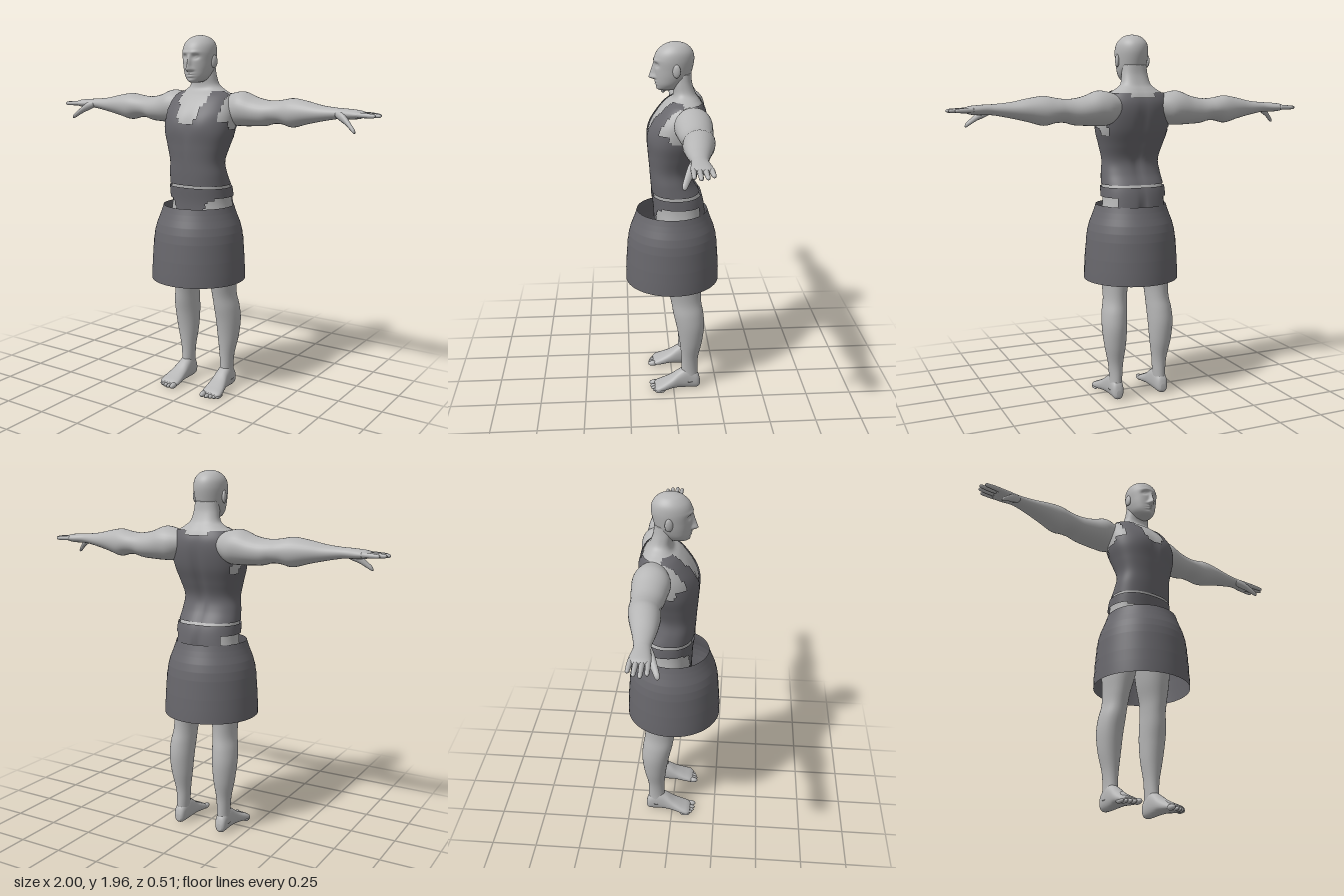
import * as THREE from 'three';

const skin = new THREE.MeshStandardMaterial({ color: 0xb6b6b6 });
skin.name = 'skin';
const cloth = new THREE.MeshStandardMaterial({ color: 0x68676c, side: THREE.DoubleSide });
cloth.name = 'cloth';

const bell = (d, width) => Math.exp(-((d / width) ** 2));
const between = (v, a, b) => THREE.MathUtils.smoothstep(v, a, b);

// Right-handed axis orders: section = [t, uMin, uMax, vMin, vMax]
const place = {
  x: (t, u, v) => new THREE.Vector3(t, u, v), // u = y, v = z
  y: (t, u, v) => new THREE.Vector3(v, t, u), // u = z, v = x
  z: (t, u, v) => new THREE.Vector3(u, v, t), // u = x, v = y
};

// Smooth blend through the sections
function sample(sections, s) {
  const last = sections.length - 1;
  const i = Math.min(Math.floor(s), last - 1);
  const f = s - i;
  const at = (k) => sections[THREE.MathUtils.clamp(k, 0, last)];
  return sections[i].map((_, c) => {
    const [a, b, d, e] = [at(i - 1)[c], at(i)[c], at(i + 1)[c], at(i + 2)[c]];
    return 0.5 * (2 * b + (d - a) * f + (2 * a - 5 * b + 4 * d - e) * f * f + (3 * b - a - 3 * d + e) * f ** 3);
  });
}

// Skins rounded cross-sections along an axis; keep() can cut the surface open
function loft(axis, sections, { sides = 24, steps = 5, power = 2, grow = 0, deform, keep } = {}) {
  const rows = (sections.length - 1) * steps;
  const pts = [];
  const add = (p) => pts.push(deform ? deform(p) : p);
  const round = (c) => Math.sign(c) * Math.abs(c) ** (2 / power);
  for (let r = 0; r <= rows; r++) {
    const [t, u0, u1, v0, v1] = sample(sections, r / steps);
    for (let k = 0; k < sides; k++) {
      const a = (k / sides) * Math.PI * 2;
      add(place[axis](t,
        (u0 + u1) / 2 + ((u1 - u0) / 2 + grow) * round(Math.cos(a)),
        (v0 + v1) / 2 + ((v1 - v0) / 2 + grow) * round(Math.sin(a))));
    }
  }
  const index = [];
  for (let r = 0; r < rows; r++) {
    for (let k = 0; k < sides; k++) {
      const n = (k + 1) % sides;
      const [a, b, c, d] = [r * sides + k, r * sides + n, (r + 1) * sides + n, (r + 1) * sides + k];
      const mid = pts[a].clone().add(pts[c]).multiplyScalar(0.5);
      if (!keep || keep(mid)) index.push(a, b, c, a, c, d);
    }
  }
  if (!keep) {
    for (const [s, base, top] of [[sections[0], 0, false], [sections.at(-1), rows * sides, true]]) {
      add(place[axis](s[0], (s[1] + s[2]) / 2, (s[3] + s[4]) / 2));
      for (let k = 0; k < sides; k++) {
        const a = base + k, b = base + ((k + 1) % sides);
        index.push(...(top ? [a, b, pts.length - 1] : [b, a, pts.length - 1]));
      }
    }
  }
  const g = new THREE.BufferGeometry().setFromPoints(pts);
  g.setIndex(index);
  g.computeVertexNormals();
  return g;
}

// Mirrored copy across x = 0 with corner order restored
function mirrored(g) {
  const m = g.clone().scale(-1, 1, 1);
  const ix = m.index.array;
  for (let i = 0; i < ix.length; i += 3) [ix[i], ix[i + 1]] = [ix[i + 1], ix[i]];
  m.computeVertexNormals();
  return m;
}

// [y, back, front, right, left]
const torso = [
  [0.86, -0.1, 0.03, 0.09], [0.92, -0.15, 0.08, 0.165], [1.0, -0.165, 0.088, 0.178],
  [1.08, -0.162, 0.092, 0.168], [1.16, -0.145, 0.103, 0.164], [1.23, -0.105, 0.11, 0.157],
  [1.3, -0.09, 0.115, 0.15], [1.38, -0.118, 0.122, 0.17], [1.46, -0.15, 0.125, 0.193],
  [1.54, -0.168, 0.108, 0.198], [1.6, -0.17, 0.074, 0.185], [1.645, -0.155, 0.035, 0.16],
  [1.672, -0.138, 0.002, 0.115], [1.7, -0.12, -0.006, 0.082], [1.75, -0.103, 0.0, 0.07],
  [1.8, -0.098, 0.0, 0.064],
].map(([y, b, f, w]) => [y, b, f, -w, w]);

// Spine groove, buttock cleft and chest
function muscles(p) {
  if (p.z < -0.06) {
    p.z += 0.014 * bell(p.x, 0.025) * bell(p.y - 1.38, 0.2);
    p.z += 0.025 * bell(p.x, 0.015) * bell(p.y - 1.0, 0.09);
  } else if (p.z > 0.03) {
    p.z += 0.008 * bell(Math.abs(p.x) - 0.08, 0.06) * bell(p.y - 1.5, 0.06);
    p.z -= 0.006 * bell(p.x, 0.012) * bell(p.y - 1.45, 0.1);
  }
  return p;
}

// Where the torn vest covers the torso
function vestArea({ x, y, z }) {
  const w = Math.abs(x);
  if (y < 1.17 || y > 1.668) return false;
  if (y < 1.42) return true;
  if (z > -0.05) { // front with square neckline and straps
    if (w > 0.165 && y > 1.47 + (z > 0.02 ? 0.05 : 0)) return false;
    if (y < 1.5) return true;
    return w > (y > 1.61 ? 0.085 : y > 1.53 ? 0.068 : 0.04);
  }
  if (z > -0.1) return y < 1.44; // armholes
  return w < (y > 1.6 ? 0.145 : 0.175) && y < (w < 0.07 ? 1.63 : 1.655);
}

// Briefs: full waistband, cut high at the hips
function briefsArea({ x, y, z }) {
  const w = Math.abs(x);
  if (y > 1.162 || y < 0.87) return false;
  if (y > 1.11) return true;
  return z > 0 ? w < Math.max(0.05, 0.11 - (1.1 - y) * 0.4) + (y > 1.09 ? 0.03 : 0) : z < -0.07 && w < 0.13;
}

// Face relief: sockets, brow, nose, lips and chin
function face(p) {
  if (p.z < 0.02) return p;
  const w = Math.abs(p.x);
  const nose = between(p.y, 1.764, 1.78) * THREE.MathUtils.clamp((1.86 - p.y) / 0.08, 0, 1);
  p.z += 0.034 * nose * bell(p.x, 0.009 + 0.007 * bell(p.y - 1.78, 0.014));
  p.z -= 0.014 * bell(w - 0.034, 0.017) * bell(p.y - 1.845, 0.012);
  p.z += 0.006 * bell(w - 0.034, 0.009) * bell(p.y - 1.844, 0.005);
  p.z += 0.005 * bell(w - 0.028, 0.025) * bell(p.y - 1.868, 0.008);
  p.z += 0.007 * bell(p.x, 0.02) * (bell(p.y - 1.759, 0.005) + bell(p.y - 1.745, 0.005));
  p.z += 0.005 * bell(p.x, 0.02) * bell(p.y - 1.724, 0.01);
  return p;
}

const head = [
  [1.712, 0.0, 0.06, 0.015], [1.72, -0.03, 0.074, 0.04], [1.745, -0.06, 0.082, 0.062],
  [1.78, -0.09, 0.087, 0.075], [1.82, -0.104, 0.09, 0.082], [1.87, -0.113, 0.093, 0.086],
  [1.91, -0.106, 0.078, 0.079], [1.94, -0.08, 0.046, 0.056], [1.954, -0.045, 0.012, 0.026],
  [1.957, -0.02, -0.012, 0.004],
].map(([y, b, f, w]) => [y, b, f, -w, w]);

// [x, bottom, top, back, front]
const arm = [
  [0.1, 1.53, 1.64, -0.15, -0.03], [0.17, 1.49, 1.66, -0.182, -0.008], [0.23, 1.485, 1.666, -0.188, 0.004],
  [0.3, 1.488, 1.64, -0.184, -0.006], [0.36, 1.492, 1.627, -0.178, -0.014], [0.41, 1.505, 1.625, -0.175, -0.022],
  [0.46, 1.504, 1.631, -0.175, -0.022], [0.52, 1.492, 1.64, -0.168, -0.016], [0.6, 1.512, 1.628, -0.15, -0.018],
  [0.68, 1.53, 1.611, -0.13, -0.025], [0.76, 1.545, 1.602, -0.114, -0.034], [0.8, 1.548, 1.6, -0.112, -0.032],
  [0.85, 1.548, 1.597, -0.12, -0.025], [0.89, 1.553, 1.592, -0.122, -0.022], [0.91, 1.565, 1.582, -0.112, -0.032],
];

// [y, back, front, inner, outer]
const leg = [
  [0.05, -0.14, -0.04, 0.1, 0.168], [0.12, -0.138, -0.045, 0.096, 0.165], [0.2, -0.14, -0.045, 0.09, 0.172],
  [0.3, -0.16, -0.035, 0.077, 0.193], [0.4, -0.171, -0.018, 0.07, 0.204], [0.48, -0.166, 0.0, 0.066, 0.2],
  [0.55, -0.154, 0.012, 0.063, 0.187], [0.62, -0.153, 0.028, 0.055, 0.187], [0.72, -0.16, 0.05, 0.03, 0.195],
  [0.85, -0.164, 0.068, 0.01, 0.197], [0.95, -0.155, 0.075, 0.015, 0.178], [1.0, -0.13, 0.05, 0.04, 0.15],
];

// [z, inner, outer, bottom, top]
const foot = [
  [-0.152, 0.118, 0.147, 0.02, 0.055], [-0.135, 0.102, 0.163, 0.004, 0.1], [-0.08, 0.094, 0.168, 0.003, 0.135],
  [-0.035, 0.09, 0.173, 0.006, 0.115], [0.01, 0.087, 0.185, 0.008, 0.082], [0.055, 0.084, 0.197, 0.003, 0.058],
  [0.09, 0.085, 0.2, 0.002, 0.042], [0.108, 0.095, 0.185, 0.008, 0.03],
];

const thumb = [
  [0.77, 1.555, 1.59, -0.07, -0.035], [0.81, 1.534, 1.582, -0.06, -0.016], [0.84, 1.52, 1.557, -0.042, -0.004],
  [0.87, 1.499, 1.528, -0.022, 0.008], [0.888, 1.487, 1.51, -0.011, 0.013], [0.895, 1.487, 1.497, -0.003, 0.008],
];

function finger(z, tip) {
  const len = tip - 0.875;
  return loft('x', [[0, 0.012], [0.35, 0.0125], [0.7, 0.011], [0.93, 0.009], [1, 0.003]].map(([f, r]) => {
    const y = 1.573 - 0.003 * f, c = z + (z + 0.072) * 0.12 * f;
    return [0.875 + len * f, y - r, y + r, c - r, c + r];
  }), { sides: 12, steps: 3 });
}

export function createModel() {
  const model = new THREE.Group();
  const add = (name, geometry, material = skin) => {
    const mesh = new THREE.Mesh(geometry, material);
    mesh.name = name;
    model.add(mesh);
  };
  const pair = (name, g) => {
    add('left' + name, g);
    add('right' + name, mirrored(g));
  };

  // Body and clothes share one torso shape
  const fine = { sides: 72, steps: 6, power: 2.3, deform: muscles };
  add('torso', loft('y', torso, fine));
  add('vest', loft('y', torso, { ...fine, grow: 0.007, keep: vestArea }), cloth);
  add('briefs', loft('y', torso, { ...fine, grow: 0.011, keep: briefsArea }), cloth);

  add('head', loft('y', head, { sides: 96, steps: 10, deform: face }));
  pair('Ear', new THREE.SphereGeometry(1, 16, 12).scale(0.011, 0.034, 0.021).rotateY(-0.3).translate(0.085, 1.822, -0.018));

  pair('Arm', loft('x', arm, { sides: 32 }));
  pair('Thumb', loft('x', thumb, { sides: 14 }));
  [[-0.111, 0.965], [-0.086, 0.99], [-0.06, 0.999], [-0.035, 0.98]].forEach(([z, tip], i) => pair('Finger' + (i + 1), finger(z, tip)));

  pair('Leg', loft('y', leg, { sides: 32 }));
  pair('Foot', loft('z', foot, { sides: 28, power: 2.4 }));
  for (let i = 0; i < 5; i++) {
    const r = i === 0 ? 0.016 : 0.0115;
    pair('Toe' + (i + 1), new THREE.SphereGeometry(1, 12, 10).scale(r, r, 0.03)
      .translate([0.102, 0.129, 0.151, 0.171, 0.188][i], r + 0.001, 0.108 - i * i * 0.0018));
  }

  // Open skirt with shallow bands
  const profile = [[0.257, 0.65], [0.254, 0.72], [0.251, 0.78], [0.247, 0.83], [0.243, 0.88], [0.236, 0.925],
    [0.225, 0.965], [0.211, 1.0], [0.2, 1.03], [0.191, 1.06]];
  const rim = [];
  profile.forEach(([r, y], i) => {
    if (i > 0 && i < profile.length - 1) rim.push(new THREE.Vector2(r + 0.002, y - 0.004));
    rim.push(new THREE.Vector2(r, y));
  });
  add('skirt', new THREE.LatheGeometry(rim, 64), cloth);
  return model;
}
